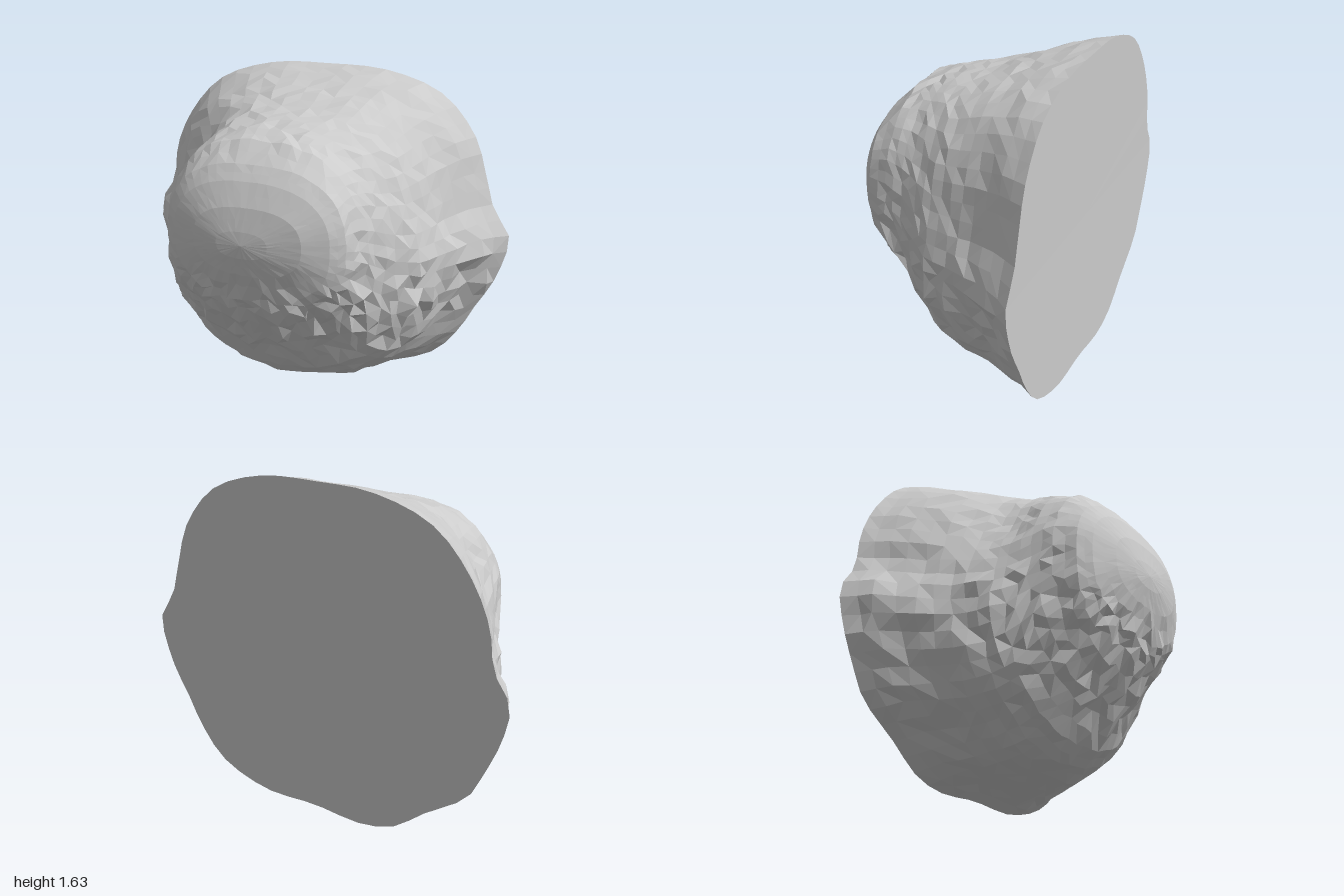
import * as THREE from 'three';

// Outline of the flat back, counter-clockwise seen from the front
const OUTLINE = [
  [1, 0.83], [0.92, 0.95], [0.87, 1.12], [0.8, 1.33], [0.62, 1.53], [0.33, 1.625], [0, 1.635],
  [-0.3, 1.62], [-0.6, 1.52], [-0.78, 1.34], [-0.89, 1.12], [-0.92, 0.92], [-1, 0.78], [-0.97, 0.62],
  [-0.88, 0.43], [-0.8, 0.3], [-0.58, 0.16], [-0.4, 0.04], [-0.22, 0.005], [0.05, 0.03], [0.35, 0.035],
  [0.62, 0.13], [0.76, 0.28], [0.84, 0.42], [0.94, 0.59],
];

// Sections from back to front: z, left x, right x, bottom y, top y
const SECTIONS = [
  [-0.53, -1, 1, 0, 1.635],
  [-0.4, -0.91, 0.91, 0.04, 1.61],
  [-0.25, -0.8, 0.81, 0.06, 1.56],
  [-0.12, -0.72, 0.76, 0.08, 1.525],
  [0, -0.66, 0.71, 0.12, 1.49],
  [0.1, -0.6, 0.63, 0.19, 1.47],
  [0.2, -0.54, 0.55, 0.33, 1.44],
  [0.3, -0.49, 0.51, 0.45, 1.41],
  [0.4, -0.44, 0.48, 0.59, 1.32],
  [0.45, -0.38, 0.42, 0.67, 1.25],
  [0.5, -0.25, 0.3, 0.81, 1.14],
  [0.525, -0.12, 0.14, 0.9, 1.03],
];
const SEGMENTS = 60;

function makeRandom(seed) {
  return () => {
    seed = (seed * 16807) % 2147483647;
    return seed / 2147483647;
  };
}

const bump = (v, centre, width) => Math.exp(-(((v - centre) / width) ** 2));

function sectionAt(t) {
  const i = Math.min(Math.floor(t), SECTIONS.length - 2);
  return SECTIONS[i].map((v, k) => THREE.MathUtils.lerp(v, SECTIONS[i + 1][k], t - i));
}

function rockGeometry() {
  const random = makeRandom(4177);
  const curve = new THREE.CatmullRomCurve3(
    OUTLINE.map(([x, y]) => new THREE.Vector3(x, (y - 0.8175) / 0.8175, 0)), true, 'centripetal');
  const outline = curve.getSpacedPoints(SEGMENTS).slice(0, SEGMENTS);
  const rings = (SECTIONS.length - 1) * 2 + 1;
  const positions = [];
  const index = [];

  for (let r = 0; r < rings; r++) {
    const [z, x0, x1, y0, y1] = sectionAt(r / 2);
    const blend = THREE.MathUtils.smoothstep(z, -0.45, 0.3);
    for (const p of outline) {
      // Blend the irregular back outline into an arch with a narrower keel underneath
      const a = Math.atan2(p.y, p.x);
      const c = Math.cos(a), s = Math.sin(a);
      const power = 2.5 - 0.5 * Math.max(0, -s) * bump(z, 0, 0.25);
      const radius = (Math.abs(c) ** power + Math.abs(s) ** power) ** (-1 / power);
      let u = THREE.MathUtils.lerp(p.x, c * radius, blend);
      let v = THREE.MathUtils.lerp(p.y, s * radius, blend);

      // Fuller shoulder on the model's right, and hollows where the dome meets the shoulders
      const relief = 1 + 0.02 * bump(z, -0.25, 0.14) * bump(a, 2.5, 0.4)
        - bump(z, 0.03, 0.18) * (0.12 * bump(a, 2.5, 0.4) + 0.05 * bump(a, 0.6, 0.35));
      u *= relief;
      v *= relief;

      let x = (x0 + x1) / 2 + u * (x1 - x0) / 2;
      let y = (y0 + y1) / 2 + v * (y1 - y0) / 2;
      let depth = z;
      // Chipped facets, roughest around the lower middle, with a smooth dome
      if (r > 0) {
        const dome = THREE.MathUtils.smoothstep(z, 0.3, 0.45) * THREE.MathUtils.smoothstep(y, 0.72, 0.85);
        const rough = (0.008 + 0.018 * bump(y, 0.6, 0.25)) * (1 - 0.9 * dome);
        const chip = (random() - 0.55) * 2 * rough;
        x += c * chip;
        y += s * chip;
        depth += (random() - 0.5) * rough;
      }
      positions.push(x, y, depth);
    }
  }

  for (let r = 0; r < rings - 1; r++) {
    for (let j = 0; j < SEGMENTS; j++) {
      const k = (j + 1) % SEGMENTS;
      const a = r * SEGMENTS + j, b = r * SEGMENTS + k;
      const c = b + SEGMENTS, d = a + SEGMENTS;
      if (random() < 0.5) index.push(a, b, c, a, c, d);
      else index.push(a, b, d, b, c, d);
    }
  }

  // Close the flat back and the tip of the dome
  const back = positions.length / 3;
  positions.push(0, 0.82, -0.525, 0.01, 0.965, 0.533);
  const last = (rings - 1) * SEGMENTS;
  for (let j = 0; j < SEGMENTS; j++) {
    const k = (j + 1) % SEGMENTS;
    index.push(back, k, j, back + 1, last + j, last + k);
  }

  const geometry = new THREE.BufferGeometry();
  geometry.setAttribute('position', new THREE.Float32BufferAttribute(positions, 3));
  geometry.setIndex(index);
  geometry.computeVertexNormals();
  return geometry;
}

export function createModel() {
  const group = new THREE.Group();
  group.name = 'rock';
  const material = new THREE.MeshStandardMaterial({ color: 0xcccccc, flatShading: true, side: THREE.DoubleSide });
  const rock = new THREE.Mesh(rockGeometry(), material);
  rock.name = 'rockBody';
  group.add(rock);
  return group;
}
